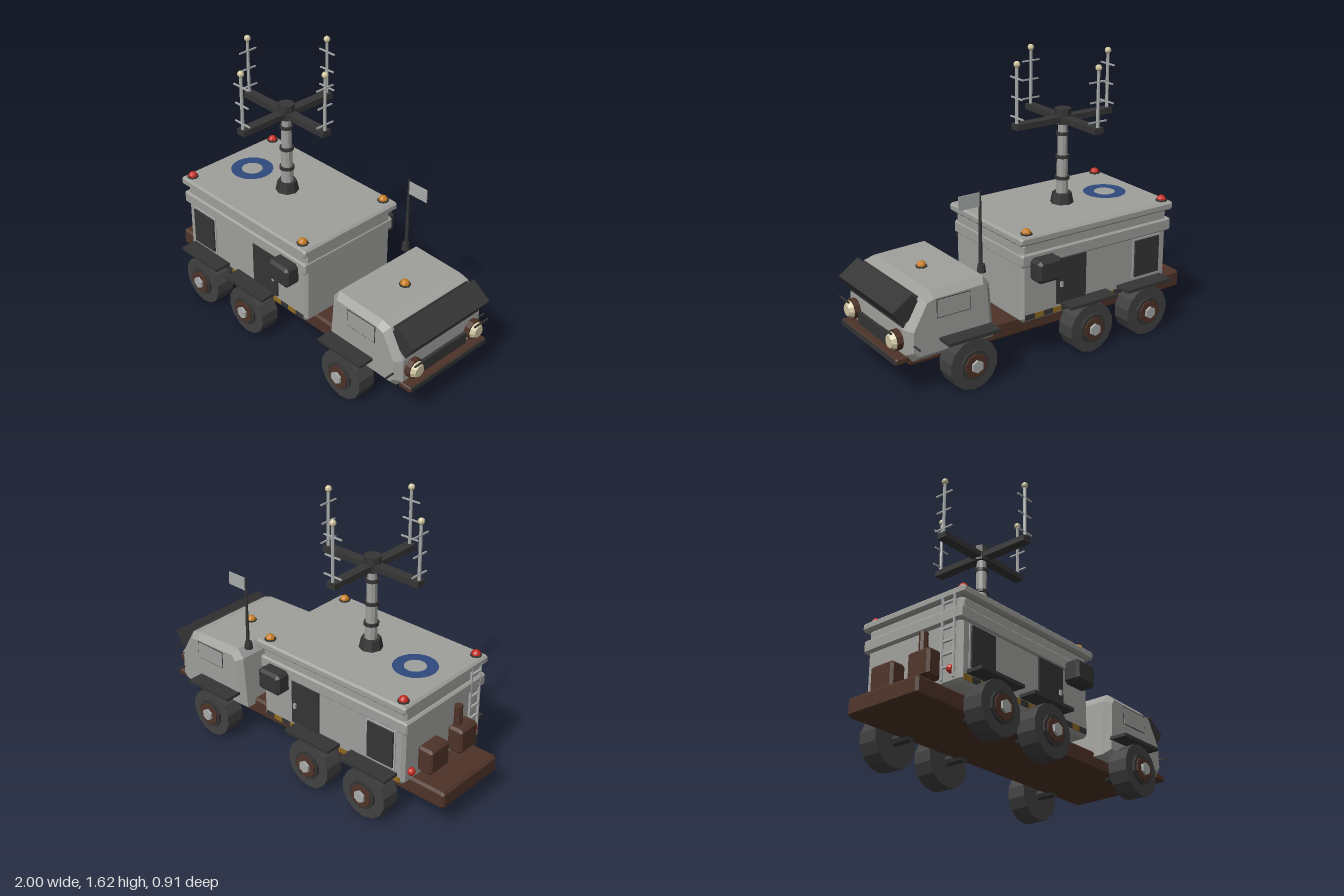
import * as THREE from 'three';

const mat = (name, color) => Object.assign(new THREE.MeshStandardMaterial({ color }), { name });

// Facets a geometry so every face reads flat
function facet(g) {
  const f = g.index ? g.toNonIndexed() : g;
  f.computeVertexNormals();
  return f;
}

// Side profile in x/y, extruded across z between -half and +half with chamfered edges
function prism(points, half, bevel) {
  const shape = new THREE.Shape(points.map(([x, y]) => new THREE.Vector2(x, y)));
  const g = new THREE.ExtrudeGeometry(shape, {
    depth: 2 * (half - bevel), bevelEnabled: bevel > 0, bevelThickness: bevel,
    bevelSize: bevel, bevelOffset: -bevel, bevelSegments: 1,
  });
  return g.translate(0, 0, -half + bevel);
}

export function createModel() {
  const model = new THREE.Group();
  model.name = 'radioTruck';

  const grey = mat('paintedGrey', 0x9fa09c);
  const dark = mat('darkTrim', 0x353535);
  const tyre = mat('tyreRubber', 0x414141);
  const rust = mat('rustBrown', 0x4e3328);
  const steel = mat('paleSteel', 0xa9acab);
  const cream = mat('creamGlass', 0xcfc5a0);
  const red = mat('redLamp', 0xc22a20);
  const amber = mat('amberLamp', 0xc47a1c);
  const blue = mat('blueMarking', 0x2f4a7c);
  const yellow = mat('hazardYellow', 0x8f6c22);

  const add = (name, geo, material, x = 0, y = 0, z = 0, parent = model) => {
    const m = new THREE.Mesh(facet(geo), material);
    m.name = name;
    m.position.set(x, y, z);
    parent.add(m);
    return m;
  };
  const box = (name, material, x0, x1, y0, y1, z0, z1, parent = model) =>
    add(name, new THREE.BoxGeometry(x1 - x0, y1 - y0, z1 - z0), material,
      (x0 + x1) / 2, (y0 + y1) / 2, (z0 + z1) / 2, parent);
  // Box with every edge chamfered by b
  const chamfered = (name, material, x0, x1, y0, y1, z0, z1, b) => add(name, prism([
    [x0 + b, y0], [x1 - b, y0], [x1, y0 + b], [x1, y1 - b],
    [x1 - b, y1], [x0 + b, y1], [x0, y1 - b], [x0, y0 + b],
  ], (z1 - z0) / 2, b * 0.9), material, 0, 0, (z0 + z1) / 2);
  const rod = (name, material, r0, r1, y0, y1, x, z, sides = 8, parent = model) =>
    add(name, new THREE.CylinderGeometry(r1, r0, y1 - y0, sides), material, x, (y0 + y1) / 2, z, parent);
  // Disc or drum whose axis runs along z
  const drumZ = (name, material, r, depth, sides, z, parent) =>
    add(name, new THREE.CylinderGeometry(r, r, depth, sides).rotateX(Math.PI / 2), material, 0, 0, z, parent);
  const lamp = (name, material, x, y, z) => {
    rod(name + 'Base', dark, 0.033, 0.033, y - 0.002, y + 0.008, x, z);
    add(name, new THREE.SphereGeometry(0.028, 8, 4, 0, Math.PI * 2, 0, Math.PI / 2), material, x, y + 0.006, z);
  };

  // Chassis deck
  chamfered('chassis', rust, -1, 0.87, 0.14, 0.245, -0.24, 0.24, 0.015);

  // Wheels, axle stubs and mudguards
  for (const s of [1, -1]) {
    for (const x of [-0.6, -0.2, 0.58]) {
      const wheel = new THREE.Group();
      wheel.name = 'wheel';
      wheel.position.set(x, 0.146, 0);
      model.add(wheel);
      drumZ('tyre', tyre, 0.146, 0.115, 14, s * 0.358, wheel);
      drumZ('rim', dark, 0.085, 0.016, 10, s * 0.422, wheel);
      drumZ('rimRing', rust, 0.068, 0.016, 10, s * 0.431, wheel);
      drumZ('hubCap', steel, 0.036, 0.022, 6, s * 0.442, wheel);
      drumZ('axleStub', dark, 0.03, 0.12, 8, s * 0.25, wheel);
      const z = [0.29, 0.432].map((v) => v * s).sort((a, b) => a - b);
      box('mudguard', dark, x - 0.16, x + 0.16, 0.297, 0.315, z[0], z[1]);
    }
  }

  // Equipment shelter: walls, upper band and overhanging roof
  chamfered('shelterWalls', grey, -0.8, 0.22, 0.245, 0.715, -0.33, 0.33, 0.02);
  chamfered('shelterBand', grey, -0.82, 0.225, 0.575, 0.65, -0.343, 0.343, 0.01);
  chamfered('shelterRoof', grey, -0.82, 0.245, 0.705, 0.755, -0.36, 0.36, 0.012);

  for (const s of [1, -1]) {
    const side = (name, m, x0, x1, y0, y1, a, b) =>
      box(name, m, x0, x1, y0, y1, Math.min(s * a, s * b), Math.max(s * a, s * b));
    side('ventPanel', dark, -0.735, -0.56, 0.34, 0.56, 0.325, 0.345);
    side('ventFrame', steel, -0.745, -0.55, 0.33, 0.57, 0.325, 0.335);
    side('sideDoor', dark, -0.21, -0.01, 0.31, 0.575, 0.325, 0.34);
    side('doorHandle', steel, -0.045, -0.03, 0.41, 0.44, 0.34, 0.35);
    // Air conditioner on the wall
    const [za, zb] = s > 0 ? [0.325, 0.425] : [-0.425, -0.325];
    chamfered('airUnit', dark, 0.01, 0.17, 0.495, 0.625, za, zb, 0.018);
    side('airUnitBracket', rust, 0.03, 0.15, 0.505, 0.615, 0.33, 0.38);
    // Hazard striping along the sill
    for (let i = 0; i < 16; i++) {
      const x = -0.78 + i * 0.061;
      side('sillStripe', i % 2 ? dark : yellow, x, x + 0.061, 0.262, 0.292, 0.328, 0.334);
    }
    lamp('rearRoofLamp', red, -0.77, 0.755, s * 0.31);
    lamp('frontRoofLamp', amber, 0.175, 0.755, s * 0.31);
    add('tailLamp', new THREE.SphereGeometry(0.024, 8, 6), red, -0.81, 0.32, s * 0.275);
  }

  // Round marking on the roof
  add('roofMarking', new THREE.RingGeometry(0.062, 0.125, 24).rotateX(-Math.PI / 2), blue, -0.6, 0.758, 0);

  // Rear lockers, exhaust and ladder
  chamfered('rearLockerA', rust, -0.89, -0.79, 0.285, 0.44, -0.21, -0.05, 0.015);
  chamfered('rearLockerB', rust, -0.89, -0.79, 0.285, 0.44, 0.05, 0.2, 0.015);
  rod('exhaustStack', rust, 0.024, 0.024, 0.44, 0.56, -0.825, 0.1);
  for (const z of [0.215, 0.295]) rod('ladderRail', steel, 0.008, 0.008, 0.27, 0.73, -0.815, z, 6);
  for (let i = 0; i < 6; i++) box('ladderRung', steel, -0.82, -0.808, 0.33 + i * 0.07, 0.342 + i * 0.07, 0.215, 0.295);

  // Telescopic mast
  const mx = -0.29;
  rod('mastBase', dark, 0.068, 0.056, 0.755, 0.815, mx, 0, 8);
  [[0.81, 0.905, 0.036], [0.905, 1.03, 0.033], [1.03, 1.165, 0.03], [1.165, 1.24, 0.027]].forEach(([y0, y1, r]) => {
    rod('mastSection', grey, r, r, y0, y1, mx, 0, 10);
    if (y1 < 1.2) rod('mastCollar', dark, r + 0.008, r + 0.008, y1 - 0.009, y1 + 0.009, mx, 0, 10);
  });
  rod('mastHub', dark, 0.048, 0.048, 1.222, 1.31, mx, 0, 8);

  // Four arms, each carrying an aerial with cross elements
  for (let i = 0; i < 4; i++) {
    const arm = new THREE.Group();
    arm.name = 'antennaArm';
    arm.position.set(mx, 0, 0);
    arm.rotation.y = i * Math.PI / 2;
    model.add(arm);
    box('armBeam', dark, 0, 0.328, 1.234, 1.268, -0.029, 0.029, arm);
    rod('aerial', steel, 0.01, 0.009, 1.25, 1.59, 0.312, 0, 6, arm);
    add('aerialTip', new THREE.SphereGeometry(0.019, 8, 6), cream, 0.312, 1.597, 0, arm);
    [[1.3, 0.06], [1.41, 0.052], [1.52, 0.06]].forEach(([y, half]) =>
      box('aerialElement', steel, 0.308, 0.316, y - 0.004, y + 0.004, -half, half, arm));
  }

  // Cab shell
  add('cab', prism([[0.385, 0.21], [0.88, 0.2], [0.928, 0.25], [0.925, 0.39], [0.83, 0.555],
    [0.77, 0.572], [0.45, 0.582], [0.41, 0.53]], 0.335, 0.035), grey);
  // Windscreen and its armoured hood
  const screen = box('windscreen', dark, -0.09, 0.09, -0.006, 0.006, -0.285, 0.285);
  screen.position.set(0.882, 0.478, 0);
  screen.rotation.z = -1.045;
  const hood = box('windscreenHood', dark, -0.0715, 0.0715, -0.0515, 0.0515, -0.298, 0.298);
  hood.position.set(0.903, 0.4975, 0);
  hood.rotation.z = -0.6;

  // Side windows: recessed panels edged by thin dark lines
  for (const s of [1, -1]) {
    box('windowEdge', dark, 0.547, 0.753, 0.427, 0.533, s * 0.335 - 0.002, s * 0.335 + 0.002);
    box('windowPanel', grey, 0.551, 0.749, 0.431, 0.529, s * 0.335 - 0.004, s * 0.335 + 0.004);
    // Headlight, its ring and brow
    const light = new THREE.Group();
    light.name = 'headlight';
    light.position.set(0.93, 0.318, s * 0.235);
    light.rotation.z = -Math.PI / 2;
    model.add(light);
    rod('headlightRing', rust, 0.058, 0.058, -0.02, 0.03, 0, 0, 10, light);
    rod('headlightLens', cream, 0.05, 0.034, 0.03, 0.055, 0, 0, 10, light);
    box('headlightBrow', dark, 0.992, 1.0, 0.382, 0.39, s * 0.235 - 0.055, s * 0.235 + 0.055);
    box('sideMarker', dark, 0.886, 0.894, 0.301, 0.309, s * 0.36 - 0.035, s * 0.36 + 0.035);
  }
  box('grille', dark, 0.9, 0.945, 0.25, 0.32, -0.18, 0.18);
  chamfered('bumper', rust, 0.9, 0.985, 0.205, 0.243, -0.305, 0.305, 0.008);
  box('bumperFace', dark, 0.982, 0.988, 0.21, 0.238, -0.298, 0.298);
  lamp('cabLamp', amber, 0.645, 0.575, 0);

  // Whip aerial with pennant
  rod('whipBase', dark, 0.025, 0.02, 0.575, 0.62, 0.42, -0.245);
  rod('whip', dark, 0.011, 0.006, 0.61, 1.03, 0.424, -0.245, 6);
  box('pennant', steel, 0.428, 0.556, 0.945, 1.022, -0.248, -0.242);

  return model;
}
